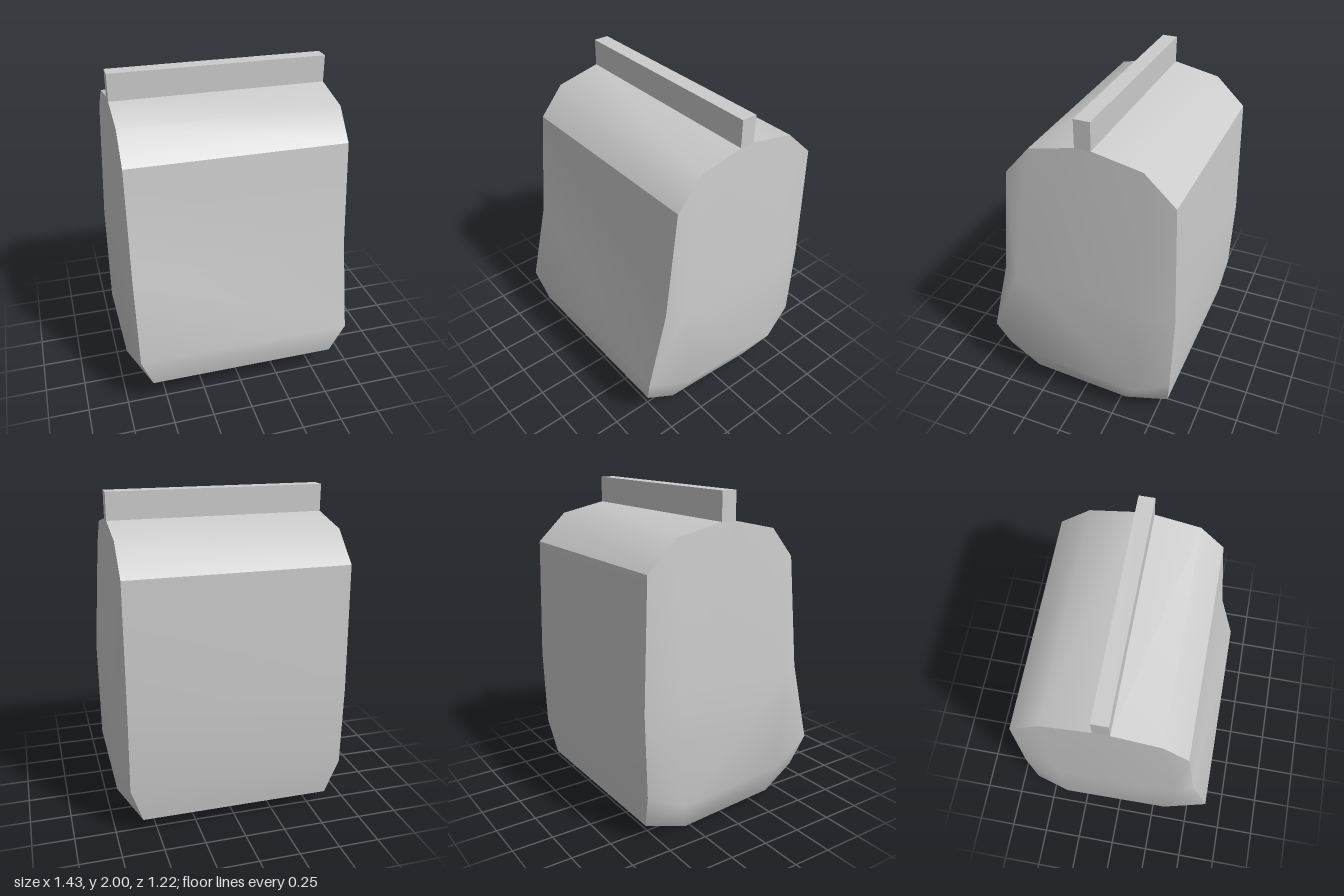
import * as THREE from 'three';

// Rim outline, from the seam's front edge down the front, under and up the back: [z, y, half width]
const RIM = [
  [-0.015, 1.835, 0.665], [0.26, 1.775, 0.665], [0.41, 1.6, 0.665], [0.485, 0.91, 0.665],
  [0.61, 0.4, 0.665], [0.565, 0.185, 0.59], [0.36, 0.05, 0.59], [-0.28, 0.005, 0.59],
  [-0.565, 0.105, 0.59], [-0.595, 0.33, 0.665], [-0.61, 0.83, 0.665], [-0.585, 1.6, 0.665],
  [-0.4, 1.775, 0.665], [-0.11, 1.835, 0.665],
];

// Corners of the bulged middle of each side: [z, y, half width]
const BULGE = [[0.38, 0.91, 0.715], [0.33, 0.28, 0.715], [-0.38, 0.23, 0.715], [-0.38, 0.91, 0.715]];

const material = new THREE.MeshStandardMaterial({ color: 0xcccccc });

function makeMesh(name, positions, indices) {
  const geometry = new THREE.BufferGeometry();
  geometry.setAttribute('position', new THREE.Float32BufferAttribute(positions, 3));
  geometry.setIndex(indices);
  geometry.computeVertexNormals();
  const mesh = new THREE.Mesh(geometry, material);
  mesh.name = name;
  return mesh;
}

// Smooth band across the bag between two rim points
function makeBand(name, from, to) {
  const positions = [], indices = [];
  for (let i = from; i <= to; i++) {
    const [z, y, w] = RIM[i];
    positions.push(-w, y, z, w, y, z);
    if (i < to) {
      const a = (i - from) * 2;
      indices.push(a, a + 2, a + 3, a, a + 3, a + 1);
    }
  }
  return makeMesh(name, positions, indices);
}

// Side wall: rim points fanned to the nearest bulge corner
function makeSide(name, side) {
  const n = RIM.length;
  const positions = [...RIM, ...BULGE].flatMap(([z, y, w]) => [side * w, y, z]);
  const indices = [];
  const add = (a, b, c) => (side > 0 ? indices.push(a, b, c) : indices.push(a, c, b));
  const [A, D, C, B] = [n, n + 1, n + 2, n + 3];
  const fans = [[A, 0, 4], [D, 4, 7], [C, 7, 10], [B, 10, 13]];
  fans.forEach(([corner, from, to], k) => {
    for (let i = from; i < to; i++) add(corner, i, i + 1);
    if (k < 3) add(corner, to, fans[k + 1][0]);
  });
  add(B, 13, 0);
  add(B, 0, A);
  add(A, D, C);
  add(A, C, B);
  return makeMesh(name, positions, indices);
}

export function createModel() {
  const bag = new THREE.Group();
  bag.name = 'bag';

  // Wrapped body, split where the folds are sharp
  bag.add(
    makeBand('frontShoulder', 0, 2),
    makeBand('frontPanel', 2, 5),
    makeBand('frontBottomFold', 5, 6),
    makeBand('bottomPanel', 6, 8),
    makeBand('backPanel', 8, 11),
    makeBand('backShoulder', 11, 13),
    makeSide('leftSide', 1),
    makeSide('rightSide', -1),
  );

  // Upright sealed strip along the top
  const seam = new THREE.Mesh(new THREE.BoxGeometry(1.33, 0.165, 0.095), material);
  seam.name = 'topSeam';
  seam.position.set(0, 1.9175, -0.0625);
  bag.add(seam);

  return bag;
}
